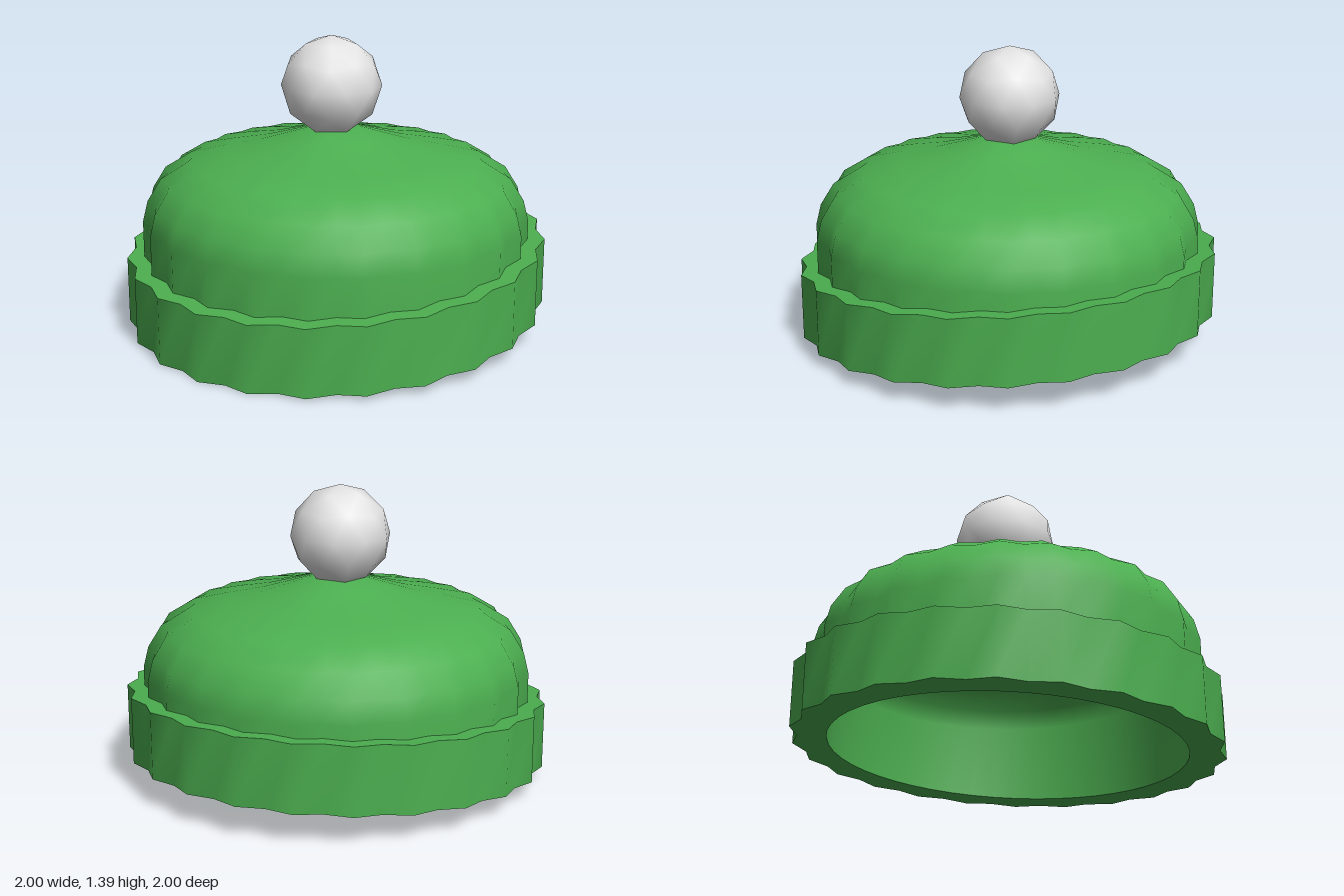
import * as THREE from 'three';

const SEGMENTS = 48; // 24 ribs, a ridge and a groove each
const GROOVE = 0.966; // groove radius relative to the ridge
const TILT = 0.077; // the band rises towards +x

// Closed loops joined into one smooth surface.
// Each profile point is [radius, height, ribbed (0 or 1), tilted (0 or 1)].
function loft(profile) {
  const positions = [];
  const index = [];
  for (const [radius, y, ribbed, tilted] of profile) {
    for (let i = 0; i < SEGMENTS; i++) {
      const a = (i / SEGMENTS) * Math.PI * 2;
      const r = ribbed && i % 2 ? radius * GROOVE : radius;
      const x = Math.sin(a) * r;
      positions.push(x, y + tilted * TILT * x, Math.cos(a) * r);
    }
  }
  for (let j = 0; j < profile.length - 1; j++) {
    for (let i = 0; i < SEGMENTS; i++) {
      const k = (i + 1) % SEGMENTS;
      const a = j * SEGMENTS + i, b = j * SEGMENTS + k;
      const c = a + SEGMENTS, d = b + SEGMENTS;
      index.push(a, b, d, a, d, c);
    }
  }
  const geometry = new THREE.BufferGeometry();
  geometry.setAttribute('position', new THREE.Float32BufferAttribute(positions, 3));
  geometry.setIndex(index);
  geometry.computeVertexNormals();
  return geometry;
}

export function createModel() {
  const green = new THREE.MeshStandardMaterial({ color: 0x4caf50 });
  green.name = 'greenWool';
  const white = new THREE.MeshStandardMaterial({ color: 0xe4e4e4 });
  white.name = 'whiteWool';

  const hat = new THREE.Group();
  hat.name = 'bobbleHat';
  const add = (parent, name, geometry, material) => {
    const mesh = new THREE.Mesh(geometry, material);
    mesh.name = name;
    parent.add(mesh);
    return mesh;
  };

  // Tilted ribbed band: separate faces keep its edges sharp
  const band = new THREE.Group();
  band.name = 'band';
  hat.add(band);
  add(band, 'bandWall', loft([[1, 0.077, 1, 1], [1, 0.395, 1, 1]]), green);
  add(band, 'bandTop', loft([[1, 0.395, 1, 1], [0.83, 0.395, 0, 1]]), green);
  add(band, 'bandBottom', loft([[0.83, 0.077, 0, 1], [1, 0.077, 1, 1]]), green);

  // Ribbed crown, flaring up to a small neck under the bobble
  add(hat, 'crown', loft([
    [0.92, 0.28, 1, 0], [0.92, 0.52, 1, 0], [0.895, 0.62, 1, 0],
    [0.83, 0.725, 1, 0], [0.7, 0.805, 1, 0], [0.53, 0.845, 1, 0],
    [0.36, 0.88, 1, 0], [0.22, 0.92, 1, 0], [0.12, 0.95, 1, 0], [0.001, 0.955, 1, 0],
  ]), green);

  // Hollow inside, wound so that it faces inwards
  add(hat, 'lining', loft([
    [0.001, 0.8, 0, 0], [0.35, 0.79, 0, 0], [0.58, 0.75, 0, 0], [0.72, 0.68, 0, 0],
    [0.8, 0.59, 0, 0], [0.83, 0.5, 0, 0], [0.83, 0.077, 0, 1],
  ]), green);

  // Coarse round bobble with a corner pointing up
  const ball = new THREE.IcosahedronGeometry(0.238, 1);
  ball.rotateZ(-Math.atan2(2, 1 + Math.sqrt(5)));
  const bobble = add(hat, 'bobble', ball, white);
  bobble.position.set(-0.005, 1.152, -0.02);

  return hat;
}
